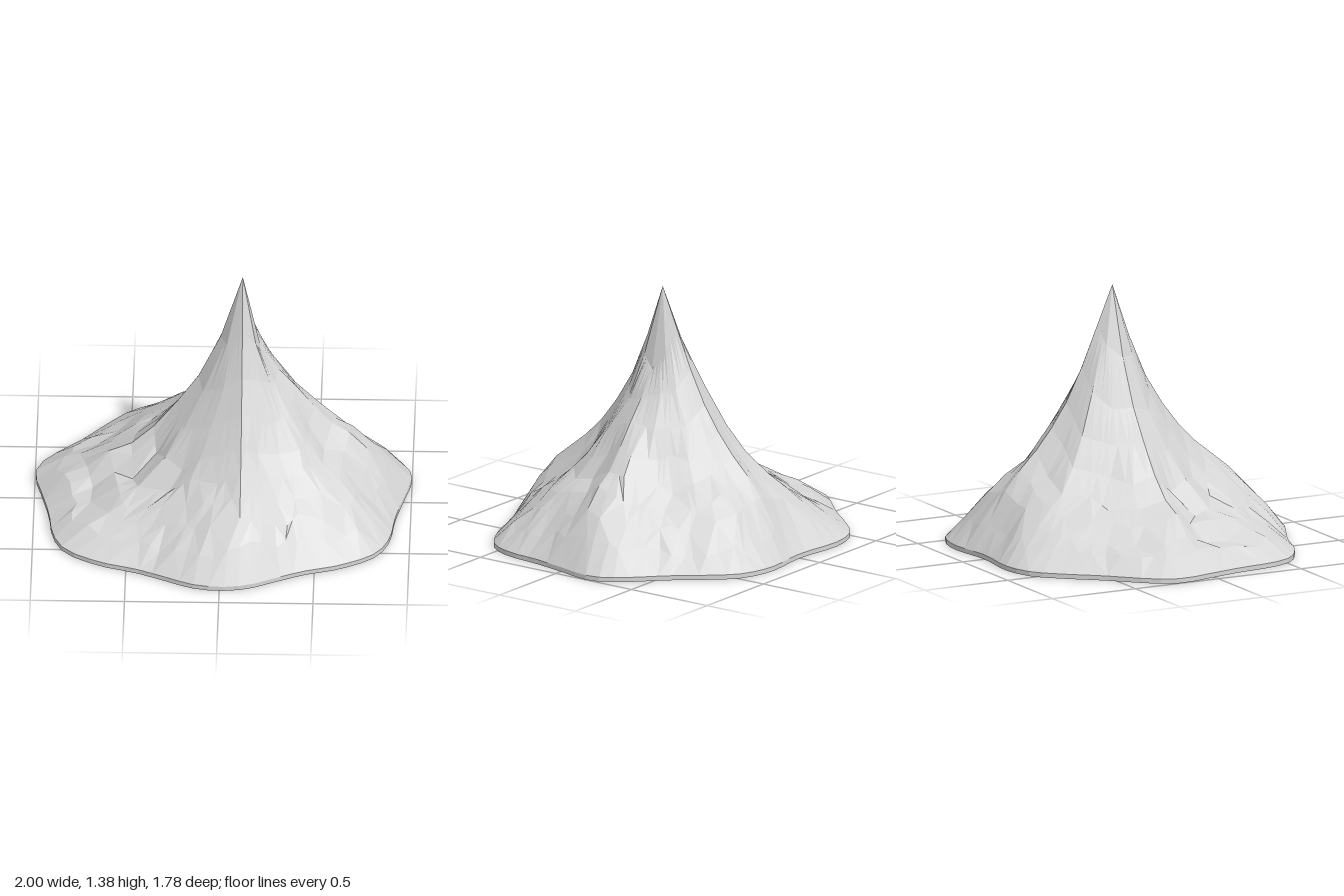
import * as THREE from 'three';

const SEG = 72;
const PEAK = { x: 0.105, y: 1.385, z: -0.04 };
const RIM = 0.025;

// Half outline of the foot (x, z), back to front; mirrored for the other half.
const HALF = [[0, -0.87], [0.3, -0.895], [0.48, -0.845], [0.6, -0.73], [0.75, -0.55], [0.9, -0.4],
  [0.98, -0.29], [1, -0.2], [0.965, -0.03], [0.92, 0.18], [0.89, 0.4], [0.82, 0.54],
  [0.63, 0.66], [0.45, 0.72], [0.3, 0.79], [0.14, 0.865], [0, 0.885]];

// Heights from peak to foot along the four ridges: +x, +z, -x, -z.
const STEPS = [0, 0.11, 0.22, 0.33, 0.44, 0.55, 0.66, 0.77, 0.88, 1];
const RIDGES = [
  [1.385, 0.95, 0.81, 0.70, 0.58, 0.47, 0.41, 0.31, 0.18, RIM],
  [1.385, 1.10, 0.87, 0.71, 0.58, 0.48, 0.40, 0.32, 0.20, RIM],
  [1.385, 1.01, 0.76, 0.59, 0.44, 0.33, 0.28, 0.18, 0.13, RIM],
  [1.385, 1.17, 0.955, 0.775, 0.64, 0.53, 0.44, 0.33, 0.18, RIM],
];
// Segments per facet on each ring: broad faces at the summit, finer below.
const FACETS = [1, 9, 6, 6, 3, 3, 2, 2, 1, 1];

function seeded(seed) {
  return () => {
    seed = (seed * 1664525 + 1013904223) % 4294967296;
    return seed / 4294967296 - 0.5;
  };
}

function sample(table, t) {
  let i = 0;
  while (i < STEPS.length - 2 && STEPS[i + 1] < t) i++;
  return THREE.MathUtils.lerp(table[i], table[i + 1], (t - STEPS[i]) / (STEPS[i + 1] - STEPS[i]));
}

// Height at angle a, fraction t from peak to foot and distance r from the peak.
function heightAt(a, t, r) {
  const q = (((a / (Math.PI / 2)) % 4) + 4) % 4;
  const k = Math.floor(q), f = q - k;
  const w = f * f * (3 - 2 * f);
  const between = Math.sin(Math.PI * f);
  // Faces between the ridges run out evenly to the foot.
  let h = THREE.MathUtils.lerp(sample(RIDGES[k], t), sample(RIDGES[(k + 1) % 4], t), w);
  h *= 1 - 0.43 * between * t * t;
  // Sharp drop beside each ridge: deep in front of the left-hand one,
  // and behind a level shelf on the right-hand one.
  const side = r * Math.min(f, 1 - f) * Math.PI / 2;
  const depth = k === 1 && f > 0.5 ? 0.09 : 0.045;
  const shelf = k === 3 && f > 0.5 ? 0.1 : 0;
  h -= depth * THREE.MathUtils.clamp((side - shelf) / 0.1, 0, 1) * Math.sin(Math.PI * Math.min(1, t * 1.15));
  return Math.max(RIM, h);
}

// Skin between neighbouring rings, with varied diagonals.
function skin(rings) {
  const pos = [];
  const tri = (...pts) => pts.forEach((p) => pos.push(...p));
  for (let r = 0; r < rings.length - 1; r++) {
    for (let i = 0; i < SEG; i++) {
      const j = (i + 1) % SEG;
      const a = rings[r][i], b = rings[r][j], c = rings[r + 1][j], d = rings[r + 1][i];
      if ((i * 7 + r * 3) % 5 < 3) { tri(a, c, d); tri(a, b, c); } else { tri(a, b, d); tri(b, c, d); }
    }
  }
  const g = new THREE.BufferGeometry();
  g.setAttribute('position', new THREE.Float32BufferAttribute(pos, 3));
  g.computeVertexNormals();
  return g;
}

export function createModel() {
  const group = new THREE.Group();
  group.name = 'mountain';
  const rock = new THREE.MeshStandardMaterial({ color: 0xd6d6d6, flatShading: true });
  rock.name = 'grey rock';
  const add = (name, geometry) => {
    const m = new THREE.Mesh(geometry, rock);
    m.name = name;
    group.add(m);
  };

  // Smooth closed foot outline, measured around the peak.
  const left = HALF.slice(1, -1).reverse().map(([x, z]) => [-x, z]);
  const curve = new THREE.CatmullRomCurve3(
    [...HALF, ...left].map(([x, z]) => new THREE.Vector3(x, 0, z)), true);
  const outline = curve.getPoints(1600).map((p) => ({
    a: Math.atan2(p.z - PEAK.z, p.x - PEAK.x), r: Math.hypot(p.x - PEAK.x, p.z - PEAK.z) }));
  const reach = (a) => {
    let best = outline[0], err = 9;
    for (const o of outline) {
      const e = 1 - Math.cos(o.a - a);
      if (e < err) { err = e; best = o; }
    }
    return best.r;
  };

  // Rings of irregular rock from peak to foot, each with its own facet width.
  const rnd = seeded(41);
  const rings = STEPS.map((t, s) => {
    const step = FACETS[s];
    const inner = s > 0 && s < STEPS.length - 1;
    const corners = Array.from({ length: SEG / step }, (_, n) => {
      const i = n * step;
      const rough = inner && i % (SEG / 4) !== 0 ? Math.min(1, t * 2) : 0;
      const a = (i + rnd() * 0.5 * step * rough) / SEG * Math.PI * 2;
      const u = t + rnd() * 0.05 * rough;
      const r = reach(a) * u;
      const y = heightAt(a, u, r) + rnd() * 0.025 * rough;
      return [PEAK.x + Math.cos(a) * r, y, PEAK.z + Math.sin(a) * r];
    });
    return Array.from({ length: SEG }, (_, i) => {
      const n = Math.floor(i / step), f = (i % step) / step;
      const next = corners[(n + 1) % corners.length];
      return corners[n].map((v, c) => THREE.MathUtils.lerp(v, next[c], f));
    });
  });
  add('slopes', skin(rings));

  // Thin vertical rim and flat underside.
  const foot = rings[rings.length - 1];
  const ground = foot.map(([x, , z]) => [x, 0, z]);
  add('rim', skin([foot, ground]));
  add('underside', skin([ground, ground.map(() => [0, 0, 0])]));
  return group;
}
